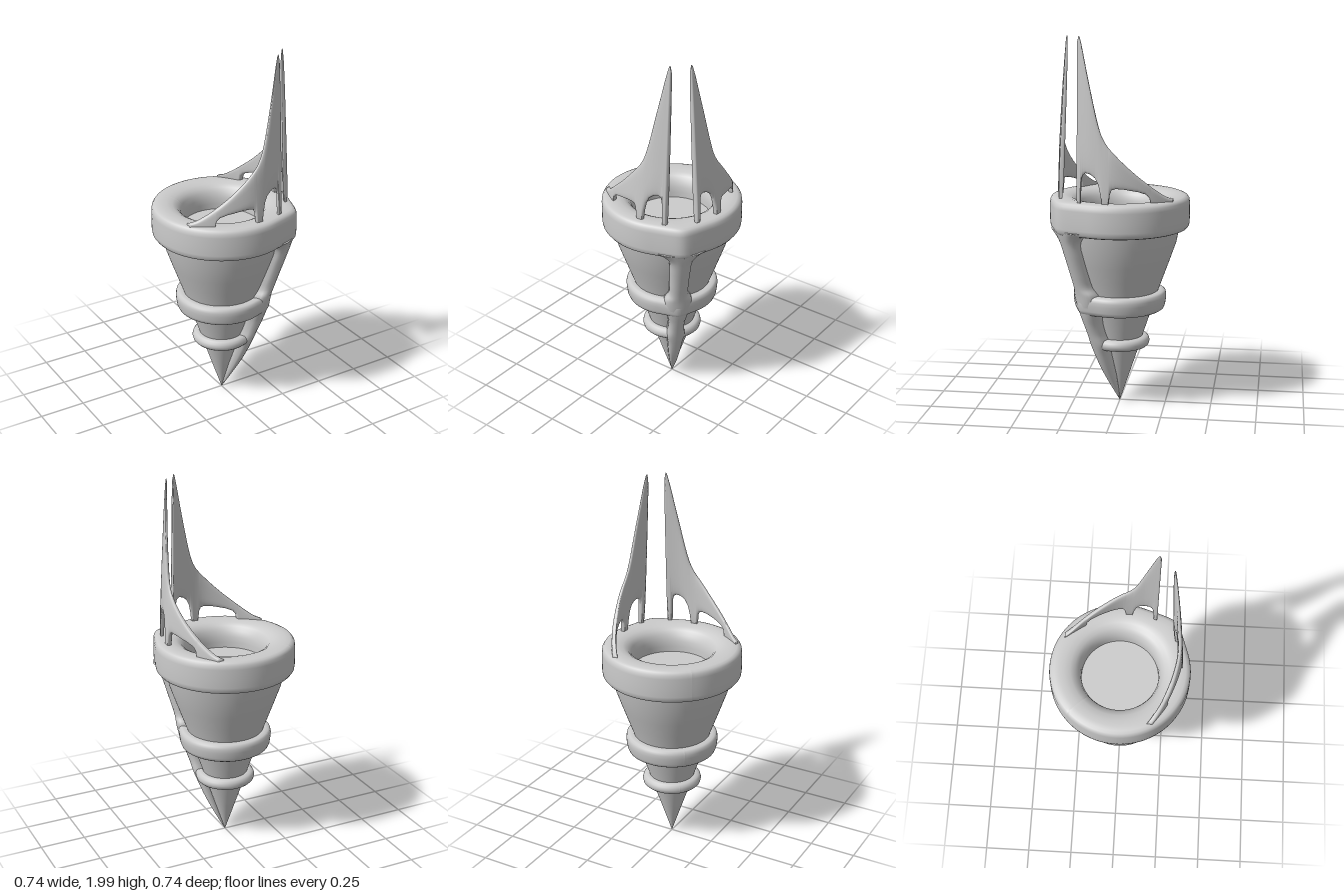
import * as THREE from 'three';

const mat = new THREE.MeshStandardMaterial({ color: 0xcccccc, roughness: 0.7 });
const S = Math.SQRT1_2;

// Piecewise linear lookup in a list of [x, y]
function lerpTable(table, x) {
  for (let i = 1; i < table.length; i++) {
    const [x0, y0] = table[i - 1], [x1, y1] = table[i];
    if (x <= x1) return y0 + (y1 - y0) * Math.max(0, (x - x0) / (x1 - x0));
  }
  return table[table.length - 1][1];
}

// Smooth curve through [x, y] points, resampled as a table
function smoothTable(pts, n) {
  return new THREE.SplineCurve(pts.map(p => new THREE.Vector2(...p))).getPoints(n).map(p => [p.x, p.y]);
}

// Closed skin over rings of points, ends closed, always facing outwards
function loft(rings) {
  const centre = r => r.reduce((a, p) => a.add(p), new THREE.Vector3()).divideScalar(r.length);
  const cap = r => { const c = centre(r); return r.map(() => c.clone()); };
  const all = [cap(rings[0]), ...rings, cap(rings[rings.length - 1])];
  const n = rings[0].length, pts = all.flat(), index = [];
  for (let i = 0; i < all.length - 1; i++) {
    for (let j = 0; j < n; j++) {
      const k = (j + 1) % n, a = i * n + j, b = i * n + k, c = a + n, d = b + n;
      index.push(a, b, d, a, d, c);
    }
  }
  let volume = 0;
  for (let i = 0; i < index.length; i += 3) {
    const [a, b, c] = [pts[index[i]], pts[index[i + 1]], pts[index[i + 2]]];
    volume += a.dot(new THREE.Vector3().crossVectors(b, c));
  }
  if (volume < 0) index.reverse();
  const g = new THREE.BufferGeometry().setFromPoints(pts);
  g.setIndex(index);
  g.computeVertexNormals();
  return g;
}

// Outline of a band: a circle drawn out to a soft corner at the diagonal
function cornerFactor(angle) {
  const d = Math.abs(angle - Math.PI / 4), reach = 0.48;
  if (d >= reach) return 1;
  const soft = Math.sqrt(d * d + 0.006);
  return soft >= reach ? 1 : 1 / Math.cos(reach - soft);
}

// Turned part; from radius r0 to r1 it takes on the corner
function turned(name, profile, r0, r1) {
  const g = new THREE.LatheGeometry(profile.map(p => new THREE.Vector2(...p)), 128, Math.PI * 1.25);
  if (r1) {
    const p = g.attributes.position;
    for (let i = 0; i < p.count; i++) {
      const x = p.getX(i), z = p.getZ(i);
      const w = THREE.MathUtils.smoothstep(Math.hypot(x, z), r0, r1);
      const f = 1 + (cornerFactor(Math.atan2(z, x)) - 1) * w;
      p.setX(i, x * f);
      p.setZ(i, z * f);
    }
    g.computeVertexNormals();
  }
  return named(name, g);
}

function named(name, geometry) {
  const m = new THREE.Mesh(geometry, mat);
  m.name = name;
  return m;
}

const cone = [[0, 0.005], [0.105, 0.32], [0.123, 0.38], [0.173, 0.53], [0.207, 0.635],
  [0.238, 0.72], [0.267, 0.8], [0.302, 0.9], [0.322, 1.0]];
const coneRadius = y => lerpTable(cone.map(([r, h]) => [h, r]), y);

// Spine on the diagonal: height, outer radius, half width
function spine() {
  const rows = [[1.0, 0.395, 0.13], [0.965, 0.385, 0.085], [0.93, 0.374, 0.062], [0.85, 0.348, 0.054],
    [0.75, 0.315, 0.05], [0.68, 0.292, 0.052], [0.64, 0.28, 0.072], [0.58, 0.267, 0.07],
    [0.52, 0.25, 0.056], [0.47, 0.232, 0.045], [0.41, 0.208, 0.043], [0.35, 0.185, 0.05],
    [0.3, 0.165, 0.042], [0.2, 0.118, 0.032], [0.1, 0.06, 0.02], [0.005, 0.002, 0.001]];
  const section = [[-1, 0], [-1, 0.55], [-0.92, 0.72], [-0.7, 0.87], [-0.4, 0.96], [0, 1],
    [0.4, 0.96], [0.7, 0.87], [0.92, 0.72], [1, 0.55], [1, 0]];
  const path = new THREE.CatmullRomCurve3(rows.map(r => new THREE.Vector3(...r)));
  return named('spine', loft(path.getPoints(75).map(({ x: y, y: r, z: w }) => {
    const base = coneRadius(y) * 0.85;
    return section.map(([u, k]) => {
      const out = base + (r - base) * k;
      return new THREE.Vector3((out + u * w) * S, y, (out - u * w) * S);
    });
  })));
}

// Fin standing on legs: upper outline, arched underside and bend, all along x
const finTop = smoothTable([[-0.3, 1.165], [-0.25, 1.19], [-0.12, 1.3], [-0.015, 1.405], [0.04, 1.475],
  [0.075, 1.57], [0.127, 1.8], [0.16, 1.955], [0.174, 2.0], [0.182, 1.97]], 60);
const finUnder = [[-0.3, 1.14], [-0.193, 1.14], [-0.186, 1.18], [-0.17, 1.2], [-0.13, 1.215], [-0.06, 1.23],
  [-0.02, 1.234], [0, 1.228], [0.01, 1.205], [0.017, 1.14], [0.049, 1.14], [0.057, 1.2], [0.068, 1.25],
  [0.085, 1.285], [0.11, 1.304], [0.135, 1.31], [0.15, 1.3], [0.158, 1.27], [0.163, 1.14], [0.182, 1.14]];
const finBend = smoothTable([[-0.3, 0.168], [-0.2, 0.238], [-0.1, 0.286], [0, 0.313], [0.1, 0.308], [0.182, 0.287]], 40);

function fin(name, mirrored) {
  const xs = finUnder.map(p => p[0]);
  for (let i = 1; i < 80; i++) xs.push(-0.3 + 0.482 * i / 80);
  xs.sort((a, b) => a - b);
  const power = (v, e) => Math.sign(v) * Math.abs(v) ** e;
  return named(name, loft(xs.map(x => {
    const low = lerpTable(finUnder, x), high = lerpTable(finTop, x), ring = [];
    for (let j = 0; j < 28; j++) {
      const a = j / 28 * Math.PI * 2;
      const y = (low + high) / 2 + (high - low) / 2 * power(Math.cos(a), 0.6);
      const rise = (y - 1.155) / 0.845;
      const z = lerpTable(finBend, x) - 0.042 * rise + (0.015 - 0.008 * rise) * power(Math.sin(a), 0.6);
      ring.push(mirrored ? new THREE.Vector3(z, y, x) : new THREE.Vector3(x, y, z));
    }
    return ring;
  })));
}

export function createModel() {
  const group = new THREE.Group();
  group.name = 'finnedCone';

  // Body and the three bands around it
  group.add(turned('coneBody', cone));
  group.add(turned('rim', [[0.29, 0.982], [0.325, 0.978], [0.345, 0.977], [0.36, 0.983], [0.369, 0.995], [0.372, 1.015],
    [0.372, 1.06], [0.372, 1.115], [0.369, 1.135], [0.36, 1.148], [0.345, 1.154], [0.32, 1.156], [0.29, 1.155],
    [0.26, 1.148], [0.236, 1.135], [0.218, 1.112], [0.208, 1.08], [0.205, 1.05], [0.205, 1.01]], 0.25, 0.34));
  group.add(turned('middleBand', [[0.15, 0.535], [0.205, 0.53], [0.225, 0.532], [0.237, 0.54], [0.244, 0.557],
    [0.249, 0.59], [0.25, 0.61], [0.246, 0.627], [0.236, 0.635], [0.22, 0.638], [0.18, 0.636]], 0.17, 0.23));
  group.add(turned('lowerBand', [[0.09, 0.322], [0.13, 0.32], [0.147, 0.324], [0.157, 0.334], [0.161, 0.35],
    [0.157, 0.366], [0.147, 0.377], [0.13, 0.381], [0.1, 0.38]], 0.11, 0.15));

  // Floor of the well inside the rim
  const floor = named('wellFloor', new THREE.CircleGeometry(0.21, 96));
  floor.rotation.x = -Math.PI / 2;
  floor.position.y = 1.02;
  group.add(floor);

  // Spine and the pair of fins mirrored across the diagonal
  group.add(spine(), fin('frontFin', false), fin('sideFin', true));
  return group;
}
